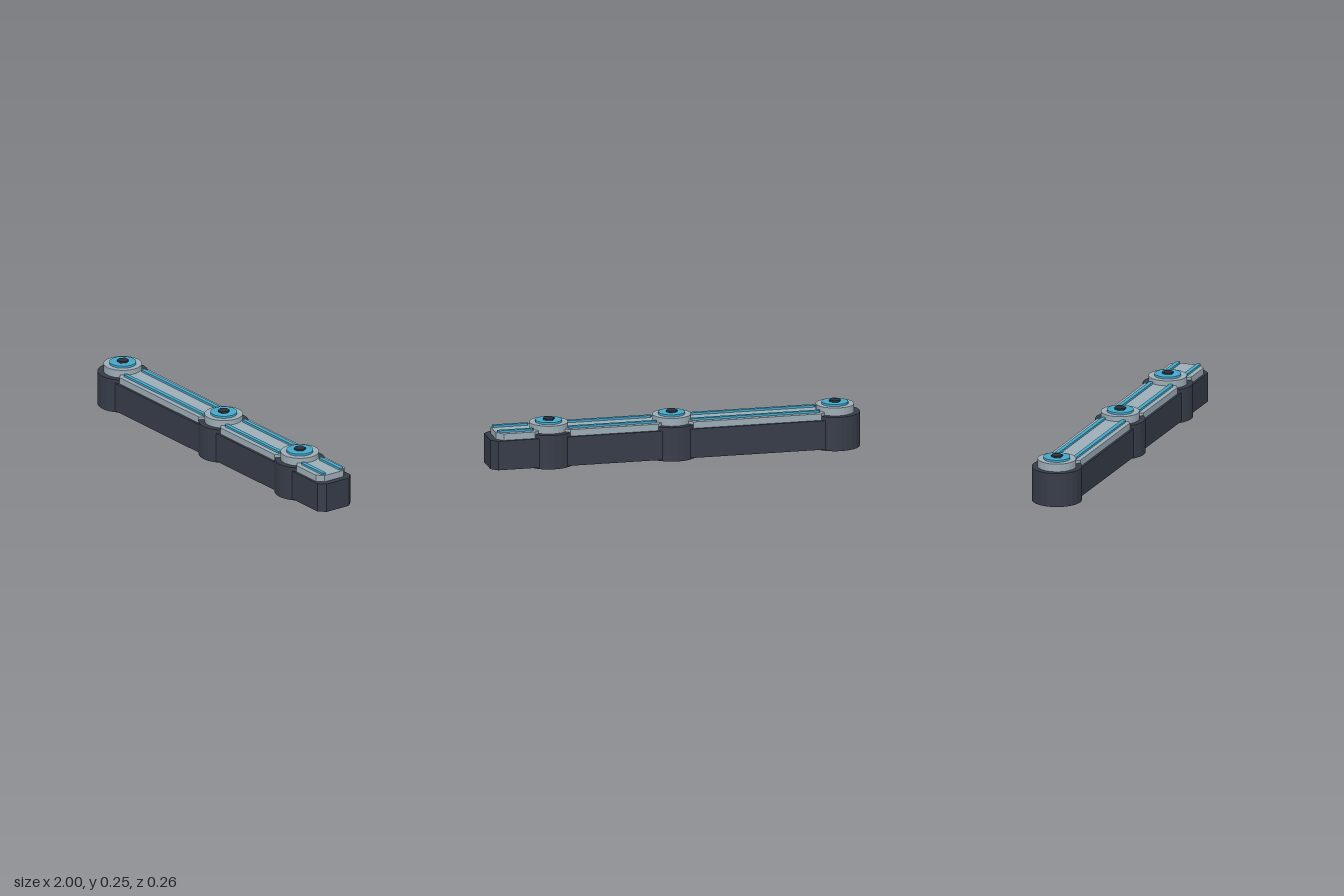
import * as THREE from 'three';

const mat = (name, color) => {
  const m = new THREE.MeshStandardMaterial({ color });
  m.name = name;
  return m;
};

export function createModel() {
  const group = new THREE.Group();
  const dark = mat('dark casing', 0x363c48);
  const grey = mat('grey plating', 0x9dadb6);
  const blue = mat('blue accent', 0x43a9cb);
  const boltDark = mat('dark bolt', 0x2c313a);

  const add = (geo, material, name, x = 0, y = 0, z = 0) => {
    const mesh = new THREE.Mesh(geo, material);
    mesh.name = name;
    mesh.position.set(x, y, z);
    group.add(mesh);
  };

  // Bar along x with its four vertical corners cut off
  const bar = (x0, x1, halfZ, cut, y0, y1, material, name, z = 0) => {
    const shape = new THREE.Shape([
      [x0 + cut, -halfZ], [x1 - cut, -halfZ], [x1, -halfZ + cut], [x1, halfZ - cut],
      [x1 - cut, halfZ], [x0 + cut, halfZ], [x0, halfZ - cut], [x0, -halfZ + cut],
    ].map(([a, b]) => new THREE.Vector2(a, b)));
    const geo = new THREE.ExtrudeGeometry(shape, { depth: y1 - y0, bevelEnabled: false });
    geo.rotateX(-Math.PI / 2);
    add(geo, material, name, 0, y0, z);
  };

  // Upright round part between two heights
  const disc = (x, r, y0, y1, sides, material, name, turn = 0) => {
    const geo = new THREE.CylinderGeometry(r, r, y1 - y0, sides).toNonIndexed();
    geo.rotateY(turn);
    geo.computeVertexNormals();
    add(geo, material, name, x, (y0 + y1) / 2);
  };

  // Joints: drum, collar, cap and hex bolt
  const joints = [-0.868, 0.009, 0.67];
  for (const x of joints) {
    disc(x, 0.132, 0, 0.183, 24, dark, 'jointDrum');
    disc(x, 0.101, 0.183, 0.225, 24, grey, 'jointCollar');
    disc(x, 0.07, 0.225, 0.236, 24, blue, 'jointCap');
    disc(x, 0.031, 0.236, 0.245, 6, boltDark, 'hexBolt', Math.PI / 6 + Math.PI / 3);
  }

  // Segments: casing, top plate and two accent strips each
  const segments = [
    { from: joints[0], to: joints[1], strip: [-0.773, -0.077] },
    { from: joints[1], to: joints[2], strip: [0.105, 0.582] },
    { from: joints[2], to: null, strip: [0.767, 0.96] },
  ];
  for (const { from, to, strip } of segments) {
    const last = to === null;
    bar(from + 0.03, last ? 1 : to - 0.03, 0.107, 0.034, 0.007, 0.163, dark, 'segmentCasing');
    bar(from + 0.062, last ? 0.967 : to - 0.062, 0.094, 0.033, 0.163, 0.198, grey, 'segmentPlate');
    for (const side of [-1, 1]) {
      bar(strip[0], strip[1], 0.011, 0.006, 0.198, 0.209, blue, 'accentStrip', side * 0.057);
    }
  }
  return group;
}
